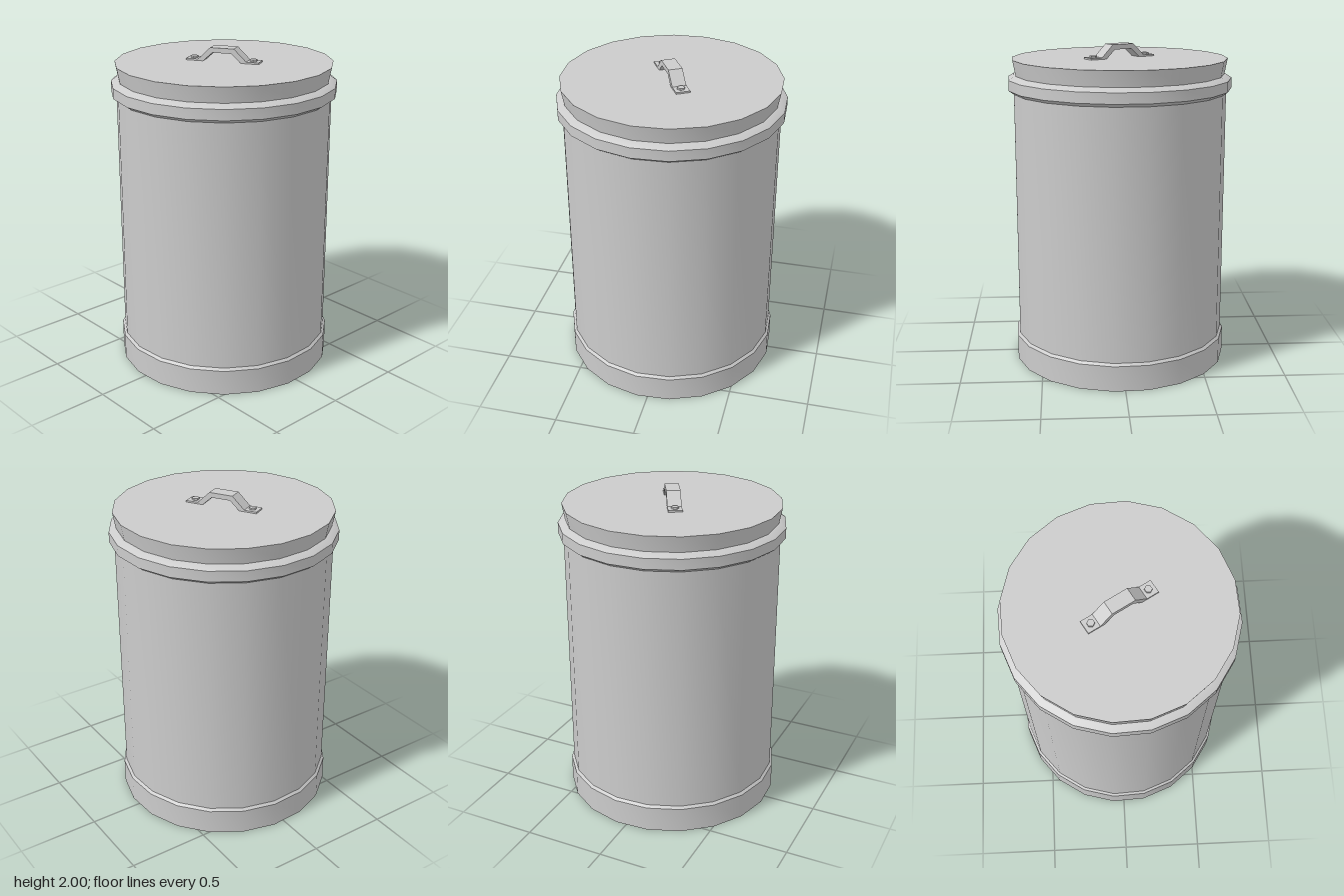
import * as THREE from 'three';
import { toCreasedNormals } from 'three/addons/utils/BufferGeometryUtils.js';

const SIDES = 20;
const material = new THREE.MeshStandardMaterial({ color: 0xcccccc, side: THREE.DoubleSide });

// Sheet-metal shell turned from a [radius, height] profile, smooth around and sharp at the folds
function turned(name, profile) {
  const points = profile.map(([r, y]) => new THREE.Vector2(r, y));
  const lathe = new THREE.LatheGeometry(points, SIDES, THREE.MathUtils.degToRad(12));
  const mesh = new THREE.Mesh(toCreasedNormals(lathe, 0.42), material);
  mesh.name = name;
  return mesh;
}

function createHandle() {
  const handle = new THREE.Group();
  handle.name = 'lidHandle';

  // Bent strap: outer outline, then back along the underside
  const right = [[0.075, 2], [0.152, 1.926], [0.23, 1.926], [0.23, 1.914], [0.122, 1.914], [0.06, 1.97]];
  const left = right.map(([x, y]) => [-x, y]).reverse();
  const shape = new THREE.Shape([...right, ...left].map(([x, y]) => new THREE.Vector2(x, y)));
  const width = 0.085;
  const strapGeometry = new THREE.ExtrudeGeometry(shape, { depth: width, bevelEnabled: false });
  strapGeometry.translate(0, 0, -width / 2);
  const strap = new THREE.Mesh(strapGeometry, material);
  strap.name = 'handleStrap';
  handle.add(strap);

  // Hexagonal bolt heads on the feet
  for (const side of [-1, 1]) {
    const bolt = new THREE.Mesh(toCreasedNormals(new THREE.CylinderGeometry(0.023, 0.023, 0.012, 6), 0.4), material);
    bolt.name = side < 0 ? 'backBolt' : 'frontBolt';
    bolt.position.set(side * 0.188, 1.931, 0);
    handle.add(bolt);
  }
  handle.rotation.y = -Math.PI / 3;
  return handle;
}

export function createModel() {
  const model = new THREE.Group();
  model.name = 'trashCan';

  // Open-bottomed body with a wider base band
  model.add(turned('body', [[0.674, 0], [0.674, 0.16], [0.659, 0.175], [0.659, 1.72]]));

  // Lid with its overhanging rim, flared wall and flat top
  model.add(turned('lid', [
    [0.66, 1.712], [0.69, 1.733], [0.69, 1.797], [0.657, 1.818],
    [0.646, 1.82], [0.664, 1.916], [0, 1.916],
  ]));

  model.add(createHandle());
  return model;
}
